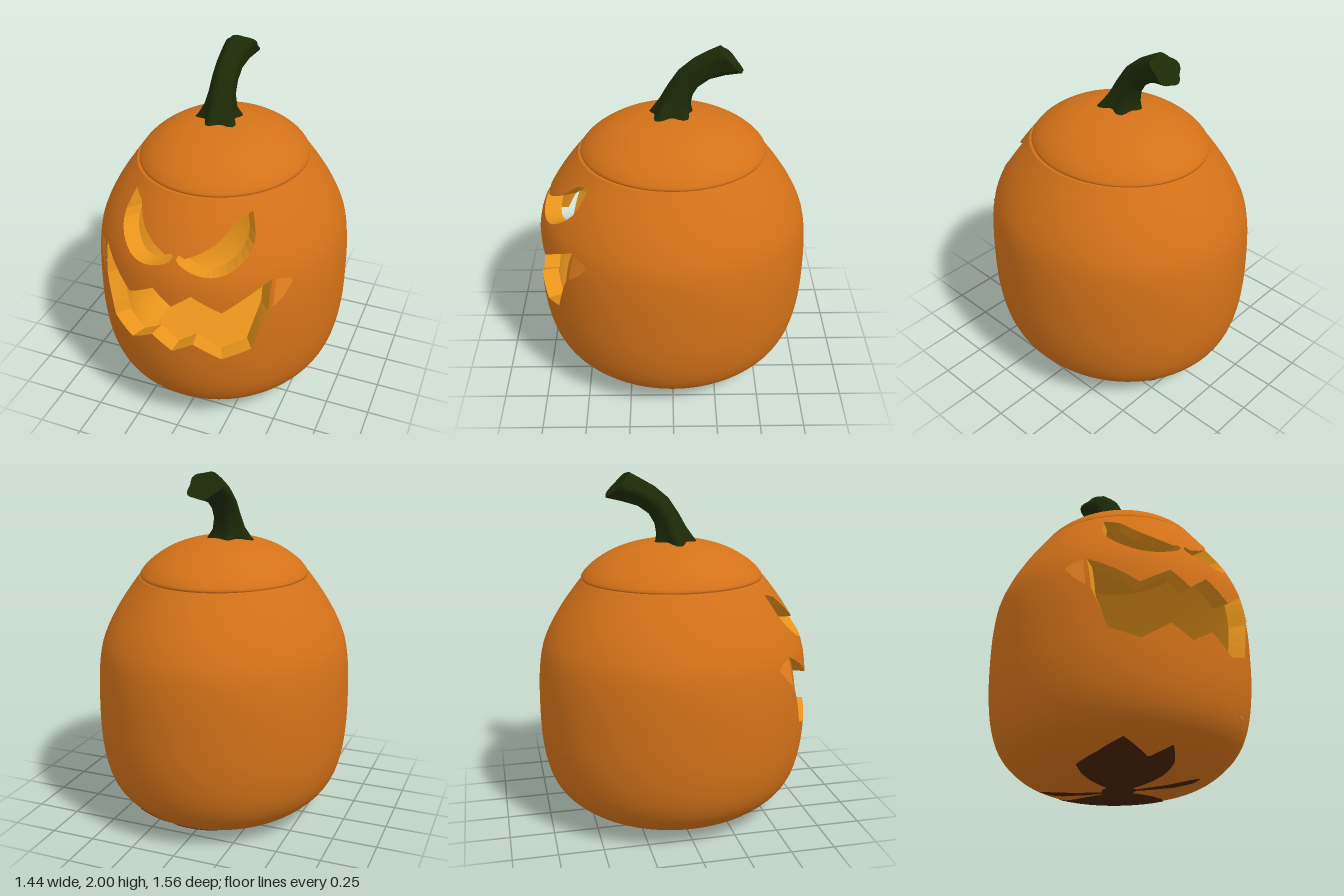
import * as THREE from 'three';

const mat = (name, color, side = THREE.FrontSide) => {
  const m = new THREE.MeshStandardMaterial({ color, side });
  m.name = name;
  return m;
};
const V2 = (a) => new THREE.Vector2(a[0], a[1]);
const DEPTH = 1.085; // the body is a little deeper than wide
const WALL = 0.095;
const LOW = 0.3, TOP = 1.41;

// Outer profile (radius, height)
const profile = new THREE.SplineCurve([
  [0, 0.004], [0.2, 0.008], [0.35, 0.018], [0.47, 0.052], [0.57, 0.12], [0.645, 0.21], [0.69, 0.33],
  [0.715, 0.5], [0.72, 0.7], [0.714, 0.88], [0.695, 1.02], [0.66, 1.12], [0.612, 1.215], [0.553, 1.31], [0.482, TOP],
].map(V2));
const samples = profile.getPoints(600);

// Radius of the body at height y
function radius(y) {
  let i = 1;
  while (i < samples.length - 1 && samples[i].y < y) i++;
  const a = samples[i - 1], b = samples[i];
  return a.x + (b.x - a.x) * ((y - a.y) / (b.y - a.y));
}

function wallPoint(t, y, inset) {
  const r = radius(y);
  return new THREE.Vector3((r - inset) * Math.sin(t), y, (r * DEPTH - inset) * Math.cos(t));
}

function wallNormal(t, y, inset) {
  const e = 0.02;
  const dt = wallPoint(t + e, y, inset).sub(wallPoint(t - e, y, inset));
  const dy = wallPoint(t, Math.min(y + e, TOP), inset).sub(wallPoint(t, y - e, inset));
  return dt.cross(dy).normalize();
}

// Outline in front projection -> dense outline in (angle, height)
function toWall(points) {
  const out = [];
  points.forEach((p, i) => {
    const q = points[(i + 1) % points.length];
    for (let k = 0; k < 4; k++) {
      const x = p[0] + (q[0] - p[0]) * k / 4, y = p[1] + (q[1] - p[1]) * k / 4;
      out.push([Math.asin(x / radius(y)), y]);
    }
  });
  return out;
}

const mirror = (pts) => pts.map(([x, y]) => [-x, y]).reverse();
const eye = new THREE.SplineCurve([
  [0.008, 1.14], [0.035, 1.112], [0.12, 1.08], [0.2, 1.07], [0.28, 1.09], [0.35, 1.155], [0.37, 1.235], [0.33, 1.353],
].map(V2)).getPoints(16).map((p) => [p.x, p.y])
  .concat([[0.27, 1.325], [0.235, 1.265], [0.2, 1.225], [0.13, 1.18], [0.055, 1.148], [0.02, 1.16]]);
const mouthHalf = [[0.12, 0.658], [0.265, 0.565], [0.405, 0.62], [0.472, 0.85], [0.478, 1.035], [0.265, 0.873], [0.108, 0.962]];
const mouth = [[0, 0.585], ...mouthHalf, [0, 0.88], ...mirror(mouthHalf)];
const holes = [eye, mirror(eye), mouth].map(toWall);

// Curved wall with the holes left open, built in narrow columns between hole corners
function wallGeometry(inset, yLow, yHigh, inward) {
  const pos = [], nor = [], idx = [], step = 0.045;
  const cuts = [];
  for (let i = 0; i <= 72; i++) cuts.push(-Math.PI + i * Math.PI / 36);
  holes.forEach((h) => h.forEach((p) => cuts.push(p[0])));
  cuts.sort((a, b) => a - b);
  const add = (t, y) => {
    const p = wallPoint(t, y, inset), n = wallNormal(t, y, inset).multiplyScalar(inward ? -1 : 1);
    pos.push(p.x, p.y, p.z);
    nor.push(n.x, n.y, n.z);
  };
  for (let c = 1; c < cuts.length; c++) {
    const a = cuts[c - 1], b = cuts[c], m = (a + b) / 2;
    if (b - a < 1e-6) continue;
    const edges = [];
    holes.forEach((h) => h.forEach((p, i) => {
      const q = h[(i + 1) % h.length];
      if ((p[0] < m) === (q[0] < m)) return;
      const at = (t) => p[1] + (q[1] - p[1]) * (t - p[0]) / (q[0] - p[0]);
      edges.push([at(a), at(b), at(m)]);
    }));
    edges.sort((p, q) => p[2] - q[2]);
    const bounds = [[yLow, yLow], ...edges, [yHigh, yHigh]];
    for (let k = 0; k + 1 < bounds.length; k += 2) {
      const lo = bounds[k], hi = bounds[k + 1];
      // rows sit at shared heights so that neighbouring columns meet exactly
      const rows = [lo];
      const end = Math.min(hi[0], hi[1]) - 1e-4;
      for (let y = Math.ceil((Math.max(lo[0], lo[1]) + 1e-4) / step) * step; y < end; y += step) rows.push([y, y]);
      rows.push(hi);
      const base = pos.length / 3;
      rows.forEach(([ya, yb]) => { add(a, ya); add(b, yb); });
      for (let j = 0; j + 1 < rows.length; j++) {
        const i = base + j * 2;
        if (inward) idx.push(i, i + 3, i + 1, i, i + 2, i + 3);
        else idx.push(i, i + 1, i + 3, i, i + 3, i + 2);
      }
    }
  }
  return buffer(pos, idx, nor);
}

function buffer(pos, idx, nor) {
  const g = new THREE.BufferGeometry();
  g.setAttribute('position', new THREE.Float32BufferAttribute(pos, 3));
  if (idx) g.setIndex(idx);
  if (nor) g.setAttribute('normal', new THREE.Float32BufferAttribute(nor, 3));
  else g.computeVertexNormals();
  return g;
}

// Cut faces through the thickness of the wall around one hole
function cutGeometry(hole) {
  const pos = [];
  hole.forEach((p, i) => {
    const q = hole[(i + 1) % hole.length];
    const [a, b, c, d] = [[p, 0], [q, 0], [q, WALL], [p, WALL]].map(([s, w]) => wallPoint(s[0], s[1], w));
    [a, b, c, a, c, d].forEach((v) => pos.push(v.x, v.y, v.z));
  });
  return buffer(pos);
}

// Thin convex patch lying on the skin, outlined in front projection
function patchGeometry(points) {
  const pos = points.flatMap(([x, y]) => wallPoint(Math.asin(x / radius(y)), y, -0.005).toArray());
  return buffer(pos, points.slice(2).flatMap((p, i) => [0, i + 1, i + 2]));
}

const lathe = (pts, depth) => new THREE.LatheGeometry(pts, 72).scale(1, 1, depth);

// Dark four-lobed blot hugging the underside: [angle in degrees, reach along the profile]
const BLOT = [[-2, 0.57], [6, 0.46], [18, 0.1], [36, 0.1], [39, 0.38], [45, 0.44], [51, 0.38], [54, 0.09], [84, 0.08],
  [100, 0.3], [120, 0.47], [135, 0.49], [150, 0.62], [162, 0.53], [168, 0.47], [174, 0.57], [186, 0.52], [199, 0.46],
  [210, 0.1], [217, 0.1], [220, 0.38], [226, 0.44], [232, 0.38], [236, 0.09], [292, 0.1], [302, 0.45], [318, 0.52],
  [332, 0.6], [347, 0.48], [358, 0.57]];
function blotGeometry() {
  const pos = [], idx = [], rings = 14, steps = 180, len = profile.getLength();
  for (let i = 0; i <= steps; i++) {
    const deg = -2 + i * 2;
    const k = Math.max(1, BLOT.findIndex((p) => p[0] >= deg));
    const [a, b] = [BLOT[k - 1], BLOT[k]];
    const reach = a[1] + (b[1] - a[1]) * (deg - a[0]) / (b[0] - a[0]);
    const t = deg * Math.PI / 180;
    for (let j = 0; j <= rings; j++) {
      const u = reach * j / rings / len;
      const p = profile.getPointAt(u), n = profile.getTangentAt(u);
      const r = p.x + 0.004 * n.y;
      pos.push(r * Math.sin(t), p.y - 0.004 * n.x, r * DEPTH * Math.cos(t));
      if (i < steps && j < rings) {
        const q = i * (rings + 1) + j, w = q + rings + 1;
        idx.push(q, w, w + 1, q, w + 1, q + 1);
      }
    }
  }
  return buffer(pos, idx);
}

// Bent, ribbed stem: rings of [x, y, z, radius, rib depth, tilt]
function stemGeometry() {
  const rings = [[-0.02, 1.595, 0.005, 0.125, 0.22, 0], [-0.025, 1.63, 0, 0.105, 0.16, 0.05], [-0.03, 1.68, -0.018, 0.085, 0.08, 0.2],
    [-0.032, 1.75, -0.045, 0.072, 0.05, 0.4], [-0.032, 1.82, -0.09, 0.069, 0.05, 0.65], [-0.032, 1.875, -0.16, 0.07, 0.05, 0.85],
    [-0.026, 1.91, -0.24, 0.078, 0.06, 0.9], [-0.01, 1.937, -0.315, 0.092, 0.08, 0.8]];
  const sides = 30, pos = [], idx = [];
  rings.forEach(([x, y, z, r, rib, tilt], i) => {
    for (let j = 0; j < sides; j++) {
      const a = j / sides * Math.PI * 2;
      const s = r * (1 + rib * Math.cos(5 * a + 1.6) + rib * 0.5 * Math.cos(3 * a + 4.7));
      const v = s * Math.cos(a);
      pos.push(x + s * Math.sin(a), y + v * Math.sin(tilt), z + v * Math.cos(tilt));
      if (i + 1 < rings.length) {
        const p = i * sides + j, q = i * sides + (j + 1) % sides;
        idx.push(p, q, q + sides, p, q + sides, p + sides);
      }
    }
  });
  // end cap with its own ring so the rim stays sharp
  const last = (rings.length - 1) * sides * 3, cap = pos.length / 3, end = rings[rings.length - 1];
  pos.push(...pos.slice(last, last + sides * 3), end[0], end[1] - 0.008, end[2] + 0.008);
  for (let j = 0; j < sides; j++) idx.push(cap + j, cap + (j + 1) % sides, cap + sides);
  return buffer(pos, idx);
}

export function createModel() {
  const orange = mat('orange skin', 0xd47219);
  const amber = mat('amber flesh', 0xe8941c, THREE.DoubleSide);
  const green = mat('dark green stem', 0x1d2a06);
  const brown = mat('dark brown blot', 0x482208, THREE.DoubleSide);
  const rust = mat('rust marks', 0xc8701c, THREE.DoubleSide);
  const glow = mat('light orange smear', 0xe88420, THREE.DoubleSide);
  const group = new THREE.Group();
  group.name = 'carvedPumpkin';
  const add = (name, geometry, material) => {
    const m = new THREE.Mesh(geometry, material);
    m.name = name;
    group.add(m);
    return m;
  };

  // Outer skin
  add('bodyWall', wallGeometry(0, LOW, TOP, false), orange);
  const under = samples.filter((p, i) => p.y < LOW - 0.005 && i % 6 === 0);
  add('bodyUnderside', lathe([...under, new THREE.Vector2(radius(LOW), LOW)], DEPTH), orange);
  add('bodyRim', lathe([[0.482, TOP], [0.475, 1.414], [0.4, 1.4]].map(V2), DEPTH), orange);
  add('bottomBlot', blotGeometry(), brown);

  // Light smears beside the mouth corners
  const smear = [[0.49, 0.87], [0.53, 0.92], [0.56, 0.99], [0.54, 1.015], [0.49, 1.03]];
  add('leftSmear', patchGeometry(smear), glow);
  add('rightSmear', patchGeometry(mirror(smear)), glow);

  // Hollow inside
  add('innerWall', wallGeometry(WALL, 0.1, 1.4, true), amber);
  [['innerFloor', 0.1], ['innerCeiling', 1.4]].forEach(([name, y]) => {
    const r = radius(y);
    add(name, new THREE.CircleGeometry(1, 72).rotateX(-Math.PI / 2).scale(r - WALL, 1, r * DEPTH - WALL), amber).position.y = y;
  });
  ['leftEyeCut', 'rightEyeCut', 'mouthCut'].forEach((name, i) => add(name, cutGeometry(holes[i]), amber));

  // Small marks on the inside of the back wall
  [[-0.3, 0.66, 0], [-0.09, 0.67, 0.8], [-0.045, 0.725, 0.4], [0, 0.69, 0], [0.045, 0.725, -0.4], [0.09, 0.67, -0.8],
    [0.3, 0.66, 0]].forEach(([x, y, turn]) => {
    const t = Math.PI - Math.asin(x / (radius(y) - WALL));
    const mark = add('innerMark', new THREE.CircleGeometry(0.018, 12).scale(1, 2, 1).rotateZ(turn), rust);
    mark.position.copy(wallPoint(t, y, WALL + 0.005));
    mark.rotation.y = t + Math.PI;
  });

  // Lid and stem
  const dome = new THREE.SplineCurve([
    [0.47, 1.42], [0.463, 1.437], [0.432, 1.475], [0.378, 1.52], [0.3, 1.567], [0.2, 1.603], [0.1, 1.622], [0, 1.628],
  ].map(V2)).getPoints(40);
  add('lid', lathe([V2([0.45, 1.402]), V2([0.466, 1.408]), ...dome], 1.1), orange).position.z = -0.006;
  add('stem', stemGeometry(), green);
  return group;
}
